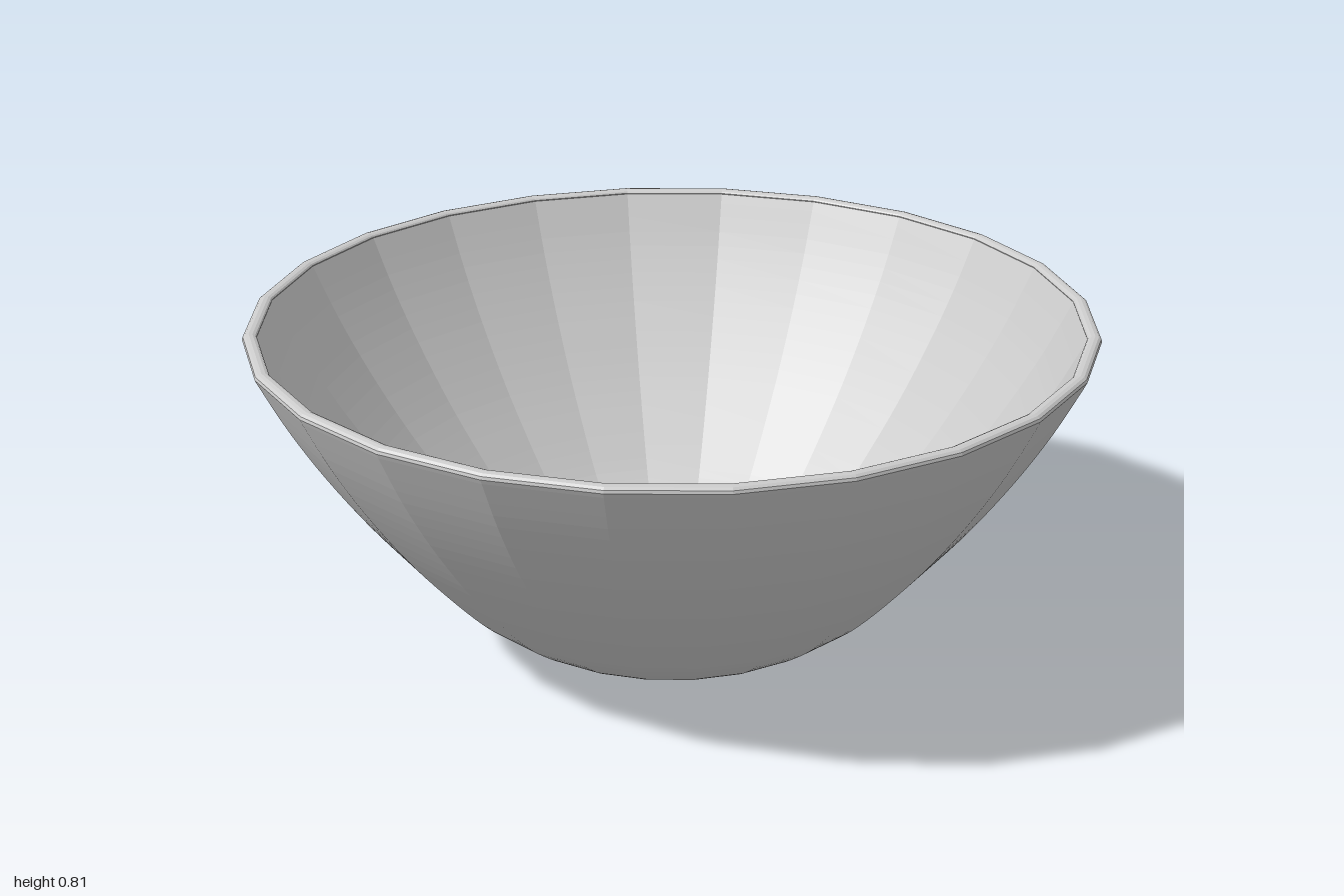
import * as THREE from 'three';

const WALL = 0.032; // wall thickness
const SIDES = 24;

const v = (x, y) => new THREE.Vector2(x, y);

export function createModel() {
  const group = new THREE.Group();
  group.name = 'bowl';

  // Outer wall: flat foot, tight curve, then a gently bowed flare
  const curve = new THREE.SplineCurve([
    v(0.2, 0.003), v(0.3, 0.018), v(0.4, 0.055), v(0.48, 0.105), v(0.55, 0.163),
    v(0.65, 0.27), v(0.75, 0.39), v(0.85, 0.53), v(0.93, 0.66), v(0.995, 0.785),
  ]);
  const outer = curve.getPoints(36);

  // Inner wall: the outer one moved inwards along its normal
  const inner = outer.map((p, i) => {
    const t = curve.getTangent(i / 36);
    return v(p.x - t.y * WALL, p.y + t.x * WALL);
  });

  // Rounded lip joining the two walls
  const lip = [v(1, 0.796), v(0.998, 0.803), v(0.992, 0.808), v(0.984, 0.81),
    v(0.975, 0.809), v(0.969, 0.806), v(0.966, 0.802)];

  const profile = [v(0, 0), v(0.18, 0), ...outer, ...lip, ...inner.reverse(), v(0, WALL)];

  const bowl = new THREE.Mesh(
    new THREE.LatheGeometry(profile, SIDES),
    new THREE.MeshStandardMaterial({ color: 0xcccccc, flatShading: true, side: THREE.DoubleSide }),
  );
  bowl.name = 'bowlShell';
  bowl.rotation.y = 0.013;
  group.add(bowl);
  return group;
}
